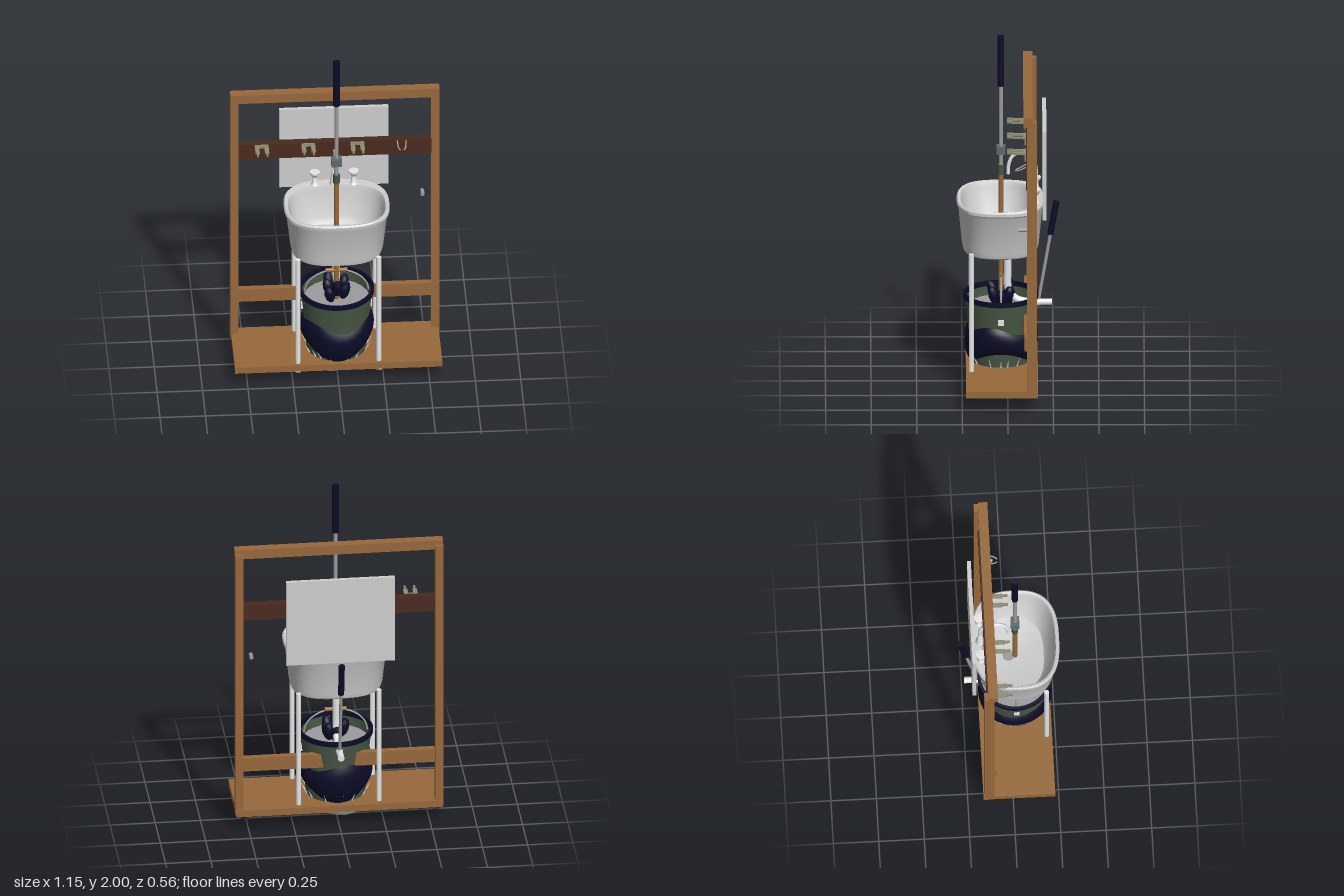
import * as THREE from 'three';
import { toCreasedNormals } from 'three/addons/utils/BufferGeometryUtils.js';

const mat = (name, color, side = THREE.FrontSide) => {
  const m = new THREE.MeshStandardMaterial({ color, side });
  m.name = name;
  return m;
};

export function createModel() {
  const root = new THREE.Group();
  root.name = 'washstand';
  const wood = mat('wood', 0x98693c), darkWood = mat('dark wood', 0x4a2a1e);
  const ceramic = mat('ceramic', 0xcfcfd0), white = mat('white', 0xe6e6e6);
  const steel = mat('steel', 0x9c9c9c), navy = mat('navy', 0x0b0b28, THREE.DoubleSide);
  const green = mat('green', 0x465643, THREE.DoubleSide), brass = mat('aged brass', 0x8e8c70);
  const slate = mat('slate', 0x5c6a70);

  const add = (name, geo, material, x = 0, y = 0, z = 0) => {
    const m = new THREE.Mesh(geo, material);
    m.name = name;
    m.position.set(x, y, z);
    root.add(m);
    return m;
  };
  // box given by its limits on each axis
  const box = (name, material, x0, x1, y0, y1, z0, z1) =>
    add(name, new THREE.BoxGeometry(x1 - x0, y1 - y0, z1 - z0), material,
      (x0 + x1) / 2, (y0 + y1) / 2, (z0 + z1) / 2);
  // upright cylinder between two heights
  const rod = (name, material, r, y0, y1, x, z, r2 = r) =>
    add(name, new THREE.CylinderGeometry(r2, r, y1 - y0, 20), material, x, (y0 + y1) / 2, z);
  const tube = (name, material, pts, r) => add(name, new THREE.TubeGeometry(
    new THREE.CatmullRomCurve3(pts.map(p => new THREE.Vector3(...p))), 40, r, 12), material);
  const lathe = (name, material, pts, x, y, z, crease = 0.6) => add(name, toCreasedNormals(
    new THREE.LatheGeometry(pts.map(p => new THREE.Vector2(...p)), 48), crease), material, x, y, z);
  // skin over closed rings; ring(i, angle) gives a point
  const loft = (rings, n, ring) => {
    const pos = [], idx = [];
    for (let i = 0; i < rings; i++)
      for (let j = 0; j < n; j++) pos.push(...ring(i, j / n * Math.PI * 2));
    for (let i = 0; i < rings - 1; i++)
      for (let j = 0; j < n; j++) {
        const a = i * n + j, b = i * n + (j + 1) % n, c = a + n, d = b + n;
        idx.push(a, c, b, b, c, d);
      }
    const g = new THREE.BufferGeometry();
    g.setAttribute('position', new THREE.Float32BufferAttribute(pos, 3));
    g.setIndex(idx);
    return toCreasedNormals(g, 0.6);
  };

  // wooden frame
  box('base', wood, -0.57, 0.57, 0.09, 0.13, -0.165, 0.23);
  box('topRail', wood, -0.575, 0.575, 1.66, 1.715, -0.137, -0.085);
  box('lowerRail', wood, -0.53, 0.53, 0.35, 0.43, -0.125, -0.09);
  box('hookBoard', darkWood, -0.53, 0.53, 1.283, 1.378, -0.14, -0.1);
  for (const s of [-1, 1]) {
    box('post', wood, s * 0.5525 - 0.0225, s * 0.5525 + 0.0225, 0.1, 1.69, -0.16, -0.105);
    for (const z of [-0.14, 0.2])
      box('foot', navy, s * 0.53 - 0.02, s * 0.53 + 0.02, 0.08, 0.09, z - 0.02, z + 0.02);
    // sink legs with end caps
    for (const z of [-0.12, 0.2]) {
      rod('leg', white, 0.014, 0.09, 0.81, s * 0.222, z);
      rod('legCap', white, 0.022, 0.078, 0.09, s * 0.222, z);
    }
  }
  box('backPanel', ceramic, -0.3, 0.3, 1.03, 1.54, -0.212, -0.19);

  // basin: outside from the bottom up, over the rim, then down inside
  // each section is [half width, height, half depth, centre z]
  const basin = [
    [0.001, 0.78, 0.001, 0.04], [0.232, 0.78, 0.192, 0.04], [0.247, 0.79, 0.205, 0.04],
    [0.256, 0.82, 0.212, 0.04], [0.279, 1.03, 0.232, 0.04], [0.29, 1.045, 0.24, 0.04],
    [0.29, 1.062, 0.24, 0.04], [0.283, 1.07, 0.234, 0.04], [0.268, 1.066, 0.203, 0.057],
    [0.258, 1.04, 0.195, 0.056], [0.228, 0.87, 0.174, 0.045], [0.2, 0.835, 0.15, 0.045],
    [0.1, 0.82, 0.08, 0.04], [0.001, 0.815, 0.001, 0.04]];
  const power = v => Math.sign(v) * Math.abs(v) ** (2 / 2.7);
  add('basin', loft(basin.length, 72, (i, a) => {
    const [rx, y, rz, cz] = basin[i];
    return [rx * power(Math.cos(a)), y, cz + rz * power(Math.sin(a))];
  }), ceramic);
  rod('drainCover', steel, 0.03, 0.816, 0.824, 0, 0);

  // taps and spout
  for (const s of [-1, 1])
    lathe('tap', white, [[0.001, 0], [0.024, 0], [0.015, 0.015], [0.012, 0.05], [0.02, 0.062],
      [0.028, 0.075], [0.028, 0.084], [0.001, 0.086]], s * 0.107, 1.065, -0.155);
  lathe('spoutBase', white, [[0.001, 0], [0.026, 0], [0.022, 0.02], [0.013, 0.09], [0.001, 0.092]],
    0, 1.065, -0.155);
  tube('spout', white, [[0, 1.14, -0.155], [0, 1.26, -0.15], [0, 1.315, -0.115], [0, 1.325, -0.07],
    [0, 1.3, -0.025], [0, 1.25, -0.005], [0, 1.2, -0.002]], 0.01);

  // drain pipe leaving through the back, with its lever
  tube('drainPipe', white, [[0, 0.8, 0], [0, 0.65, 0], [0, 0.53, -0.005], [0, 0.475, -0.05],
    [0, 0.458, -0.13], [0, 0.458, -0.18]], 0.021);
  add('pipeOutlet', new THREE.CylinderGeometry(0.018, 0.018, 0.09, 20), white, 0, 0.458, -0.198)
    .rotation.x = Math.PI / 2;
  const slanted = (name, material, r, y0, z0, y1, z1) => {
    const m = rod(name, material, r, 0, Math.hypot(y1 - y0, z1 - z0), 0, (z0 + z1) / 2);
    m.position.y = (y0 + y1) / 2;
    m.rotation.x = Math.atan2(z1 - z0, y1 - y0);
  };
  slanted('leverRod', steel, 0.009, 0.46, -0.168, 0.86, -0.236);
  slanted('leverGrip', navy, 0.017, 0.85, -0.234, 1.04, -0.267);

  // hooks on the board
  for (const x of [-0.403, -0.147, 0.123]) {
    box('hookPlate', brass, x - 0.038, x + 0.038, 1.362, 1.376, -0.102, -0.085);
    for (const s of [-1, 1]) {
      const px = x + s * 0.026;
      box('hookStem', brass, px - 0.006, px + 0.006, 1.325, 1.365, -0.102, -0.092);
      box('hookArm', brass, px - 0.012, px + 0.012, 1.364, 1.372, -0.095, -0.025);
      box('hookTip', brass, px - 0.006, px + 0.006, 1.364, 1.378, -0.03, 0.004);
    }
  }
  for (const s of [-1, 1])
    tube('wireHook', steel, [[0.367 + s * 0.024, 1.37, -0.1], [0.367 + s * 0.019, 1.35, -0.06],
      [0.367 + s * 0.008, 1.345, -0.042]], 0.004);
  add('peg', new THREE.CylinderGeometry(0.011, 0.011, 0.045, 16), steel, 0.48, 1.037, -0.083)
    .rotation.x = Math.PI / 2;

  // long pole
  const pz = 0.037;
  rod('poleGrip', navy, 0.018, 1.71, 2.0, 0, pz);
  rod('poleUpper', steel, 0.011, 1.24, 1.71, 0, pz);
  box('poleClamp', slate, -0.029, 0.029, 1.318, 1.362, pz - 0.024, pz + 0.024);
  rod('poleSleeve', green, 0.018, 1.2, 1.255, 0, pz);
  rod('poleLower', wood, 0.014, 0.13, 1.2, 0, pz);

  // bucket
  const bucketR = y => 0.165 + (y - 0.13) / 0.37 * 0.03;
  lathe('bucket', green, [[0.001, 0.132], [0.165, 0.132], [0.195, 0.5]], 0, 0, pz);
  lathe('bucketRim', navy, [[0.19, 0.49], [0.206, 0.49], [0.206, 0.515], [0.19, 0.515], [0.19, 0.49]],
    0, 0, pz);
  rod('bucketWater', steel, 0.183, 0.42, 0.44, 0, pz);
  // wavy dark sleeve round the lower bucket
  add('bucketSleeve', loft(9, 72, (i, a) => {
    const t = i / 8, low = 0.17 + 0.04 * Math.cos(2 * a), high = 0.34 + 0.025 * Math.sin(3 * a + 0.6);
    const y = low + (high - low) * t;
    const r = bucketR(y) + 0.003 + 0.024 * Math.sin(Math.PI * t) ** 0.6;
    return [r * Math.cos(a), y, pz + r * Math.sin(a)];
  }), navy);
  // handle with wooden grip and side lugs
  const arc = [];
  for (let i = 0; i <= 12; i++) {
    const a = Math.PI * i / 12;
    arc.push([0.175 * Math.cos(a), 0.49 + 0.135 * Math.sin(a), pz]);
  }
  tube('bucketHandle', steel, arc, 0.005);
  add('handleGrip', new THREE.CylinderGeometry(0.012, 0.012, 0.12, 16), wood, 0, 0.625, pz)
    .rotation.z = Math.PI / 2;
  for (const s of [-1, 1])
    box('bucketLug', white, s * 0.188 - 0.007, s * 0.188 + 0.007, 0.385, 0.417, pz - 0.016, pz + 0.016);

  // dark cloth bunched round the pole inside the bucket
  for (let i = 0; i < 8; i++) {
    const a = i * Math.PI / 4, r = 0.045 + 0.012 * (i % 2);
    const c = add('cloth', new THREE.IcosahedronGeometry(0.036, 1), navy,
      r * Math.cos(a), 0.49 + 0.02 * (i % 3), pz + r * Math.sin(a));
    c.scale.set(0.8, 1.6, 0.8);
    c.rotation.set(0.3 * Math.sin(a), 0, -0.3 * Math.cos(a));
  }
  // short bristles round the foot of the bucket
  for (let i = 0; i < 16; i++) {
    const a = i * 2.4, r = 0.178;
    const b = add('bristle', new THREE.ConeGeometry(0.005, 0.06 + 0.01 * (i % 3), 6), white,
      r * Math.cos(a), 0.158, pz + r * Math.sin(a));
    b.rotation.set(0.5 * Math.sin(a), 0, -0.5 * Math.cos(a));
  }

  // lopsided bulge under the base
  rod('bulgeCollar', navy, 0.152, 0.082, 0.09, -0.008, 0.033);
  const bulge = new THREE.SphereGeometry(1, 40, 24);
  const p = bulge.attributes.position;
  for (let i = 0; i < p.count; i++) {
    const x = p.getX(i), y = p.getY(i), z = p.getZ(i);
    p.setXYZ(i, x * 0.15, y < 0 ? y * (0.077 - 0.025 * x) : y * 0.02, z * 0.148);
  }
  bulge.computeVertexNormals();
  bulge.computeBoundingBox();
  add('bulge', bulge, ceramic, -0.01, -bulge.boundingBox.min.y, 0.033);

  return root;
}
